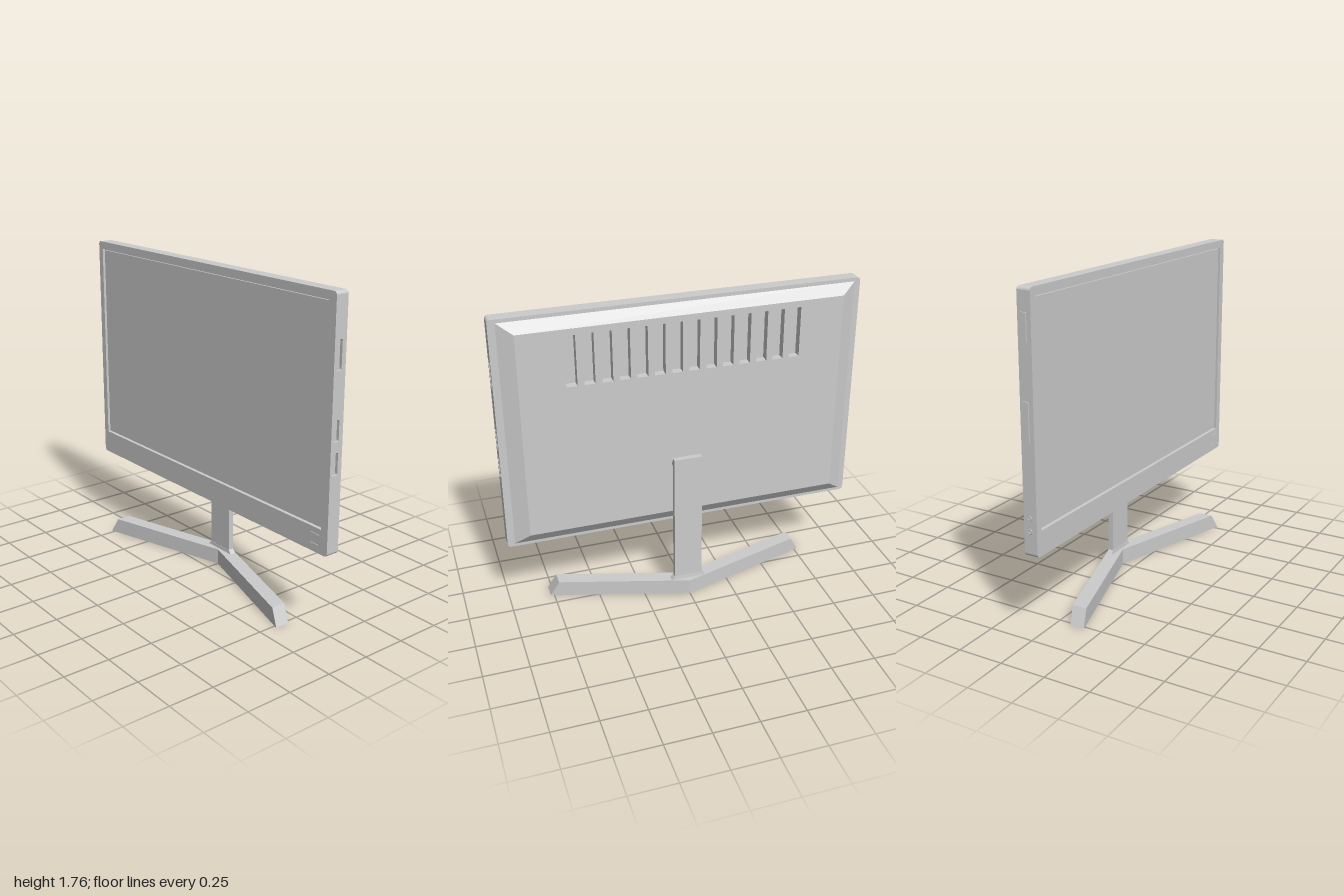
import * as THREE from 'three';

const grey = new THREE.MeshStandardMaterial({ color: 0xcccccc });

function add(parent, name, geometry, x = 0, y = 0, z = 0) {
  const mesh = new THREE.Mesh(geometry, grey);
  mesh.name = name;
  mesh.position.set(x, y, z);
  parent.add(mesh);
  return mesh;
}

const box = (w, h, d) => new THREE.BoxGeometry(w, h, d);
const extrude = (shape, depth) =>
  new THREE.ExtrudeGeometry(shape, { depth, bevelEnabled: false, curveSegments: 5 });

// Rounded rectangle from corner to corner
function roundRect(path, x0, y0, x1, y1, r) {
  path.moveTo(x0 + r, y0);
  path.lineTo(x1 - r, y0);
  path.absarc(x1 - r, y0 + r, r, -Math.PI / 2, 0);
  path.lineTo(x1, y1 - r);
  path.absarc(x1 - r, y1 - r, r, 0, Math.PI / 2);
  path.lineTo(x0 + r, y1);
  path.absarc(x0 + r, y1 - r, r, Math.PI / 2, Math.PI);
  path.lineTo(x0, y0 + r);
  path.absarc(x0 + r, y0 + r, r, Math.PI, Math.PI * 1.5);
  return path;
}

const rectHole = (x0, y0, x1, y1) => new THREE.Path([
  new THREE.Vector2(x0, y0), new THREE.Vector2(x0, y1),
  new THREE.Vector2(x1, y1), new THREE.Vector2(x1, y0), new THREE.Vector2(x0, y0),
]);

// Faceted skin over successive loops of four points
function loft(loops, caps = false) {
  const p = [];
  const quad = (a, b, c, d) => p.push(...a, ...b, ...c, ...a, ...c, ...d);
  for (let i = 0; i + 1 < loops.length; i++) {
    for (let j = 0; j < 4; j++) {
      const k = (j + 1) % 4;
      quad(loops[i][j], loops[i][k], loops[i + 1][k], loops[i + 1][j]);
    }
  }
  if (caps) {
    const [a, b, c, d] = loops[0];
    quad(d, c, b, a);
    quad(...loops[loops.length - 1]);
  }
  const g = new THREE.BufferGeometry();
  g.setAttribute('position', new THREE.Float32BufferAttribute(p, 3));
  g.computeVertexNormals();
  return g;
}

function createScreen() {
  const g = new THREE.Group();
  g.name = 'display';

  // Bezel with the screen opening and a shallow notch for the port strip
  const outline = new THREE.Shape();
  const r = 0.018;
  outline.moveTo(-0.992 + r, 0.45);
  outline.lineTo(1 - r, 0.45);
  outline.absarc(1 - r, 0.45 + r, r, -Math.PI / 2, 0);
  for (const [x, y] of [[1, 0.8], [0.985, 0.8], [0.985, 1.6], [1, 1.6], [1, 1.765 - r]]) outline.lineTo(x, y);
  outline.absarc(1 - r, 1.765 - r, r, 0, Math.PI / 2);
  outline.lineTo(-0.992 + r, 1.765);
  outline.absarc(-0.992 + r, 1.765 - r, r, Math.PI / 2, Math.PI);
  outline.lineTo(-0.992, 0.45 + r);
  outline.absarc(-0.992 + r, 0.45 + r, r, Math.PI, Math.PI * 1.5);
  outline.holes.push(rectHole(-0.955, 0.582, 0.955, 1.722));
  add(g, 'bezel', extrude(outline, 0.075), 0, 0, -0.03);
  add(g, 'screenPanel', box(1.895, 1.125, 0.065), 0, 1.152, 0.0025);
  add(g, 'screenGap', box(1.91, 1.14, 0.055), 0, 1.152, -0.0025);

  // Port strip on the left side, with three openings
  const strip = new THREE.Shape();
  strip.moveTo(-0.045, 0.8);
  strip.lineTo(0.03, 0.8);
  strip.lineTo(0.03, 1.6);
  strip.lineTo(-0.045, 1.6);
  for (const [y0, y1] of [[1.39, 1.54], [1.04, 1.15], [0.87, 0.985]]) {
    strip.holes.push(roundRect(new THREE.Path(), -0.03, y0, 0.004, y1, 0.008));
  }
  add(g, 'portStrip', extrude(strip, 0.015), 0.985, 0, 0).rotation.y = Math.PI / 2;

  // Slim covers and two sockets on the right side
  for (const [y, h] of [[1.58, 0.14], [1.13, 0.2]]) {
    add(g, 'sideCover', box(0.012, h, 0.03), -0.994, y, 0.005);
  }
  for (const y of [0.58, 0.65]) {
    const socket = add(g, 'socket', new THREE.TorusGeometry(0.011, 0.003, 6, 16), -0.992, y, 0.005);
    socket.rotation.y = Math.PI / 2;
  }

  // Control marks on the chin
  for (const [y, w] of [[0.548, 0.06], [0.492, 0.05]]) {
    add(g, 'chinButton', box(w, 0.006, 0.006), 0.91, y, 0.046);
  }
  return g;
}

function createBackCover() {
  const g = new THREE.Group();
  g.name = 'backCover';

  // Sloping border
  const ring = (x, y0, y1, z) => [[x, y0, z], [-x, y0, z], [-x, y1, z], [x, y1, z]];
  add(g, 'coverBevel', loft([
    ring(0.96, 0.467, 1.745, -0.03),
    ring(0.88, 0.53, 1.69, -0.075),
  ]));

  // Flat back with a row of vent slots
  const plate = new THREE.Shape();
  plate.moveTo(-0.88, 0.53);
  plate.lineTo(0.88, 0.53);
  plate.lineTo(0.88, 1.69);
  plate.lineTo(-0.88, 1.69);
  for (let i = 0; i < 14; i++) {
    const x = (i - 6.5) * 0.0935;
    plate.holes.push(rectHole(x - 0.029, 1.375, x + 0.029, 1.655));
  }
  add(g, 'ventedPanel', extrude(plate, 0.045), 0, 0, -0.075);
  return g;
}

function createStand() {
  const g = new THREE.Group();
  g.name = 'stand';

  add(g, 'column', box(0.16, 0.785, 0.03), 0, 0.4825, -0.105);
  const mount = roundRect(new THREE.Shape(), -0.08, 0.808, 0.08, 0.868, 0.029);
  add(g, 'mount', extrude(mount, 0.02), 0, 0, -0.092);

  // Flared foot of the column
  const foot = (x, z, y) => [[-x, y, -0.105 + z], [x, y, -0.105 + z], [x, y, -0.105 - z], [-x, y, -0.105 - z]];
  add(g, 'columnFoot', loft([foot(0.1, 0.018, 0.088), foot(0.08, 0.0155, 0.112)], true));

  // V-shaped base with slanted ends
  const section = (xb, xt, back, front) => {
    const s = 0.3 * (Math.abs(xb) - Math.abs(xt));
    return [[xb, 0, back], [xt, 0.09, back - s], [xt, 0.09, front - s], [xb, 0, front]];
  };
  add(g, 'base', loft([
    section(-0.77, -0.72, 0.075, 0.157),
    section(0, 0, -0.155, -0.073),
    section(0.77, 0.72, 0.075, 0.157),
  ], true));
  return g;
}

export function createModel() {
  const model = new THREE.Group();
  model.name = 'monitor';
  model.add(createScreen(), createBackCover(), createStand());
  return model;
}
